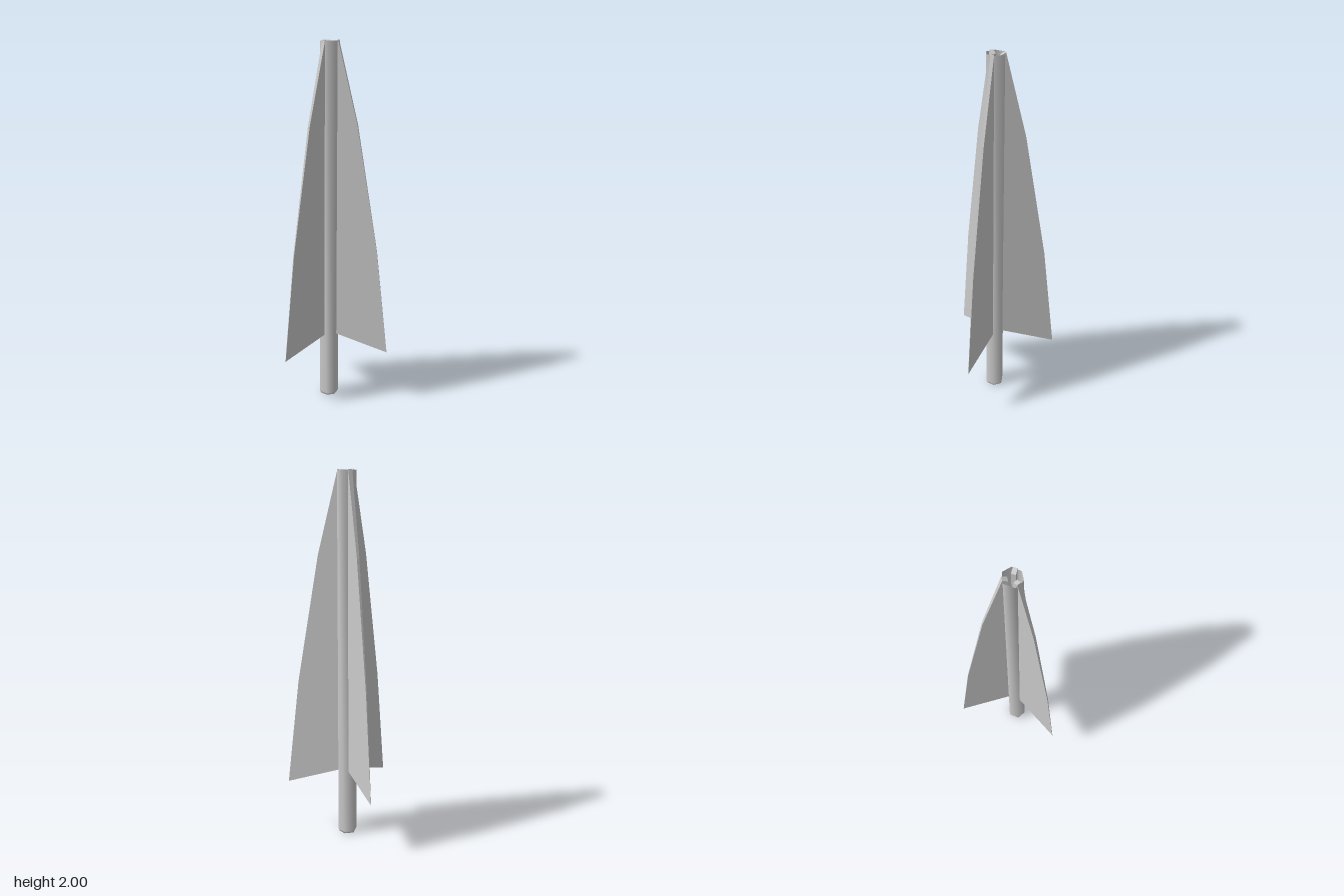
import * as THREE from 'three';
import { mergeVertices } from 'three/addons/utils/BufferGeometryUtils.js';

const AXIS_X = 0.085; // the shaft axis sits off-centre so the whole model is centred

// Slightly irregular six-sided hollow shaft, open on top, rounded bottom
function shaftGeometry() {
  const section = [[-0.008, 0.052], [0.039, 0.034], [0.05, -0.015], [0.005, -0.052], [-0.049, -0.026], [-0.049, 0.027]];
  const profile = [[0, 0], [0.86, 0.002], [1, 0.016], [1, 1.995]].map(([r, y]) => new THREE.Vector2(r, y));
  let geo = new THREE.LatheGeometry(profile, section.length);
  const pos = geo.attributes.position;
  for (let k = 0; k < pos.count; k++) {
    const [x, z] = section[Math.floor(k / profile.length) % section.length];
    const r = profile[k % profile.length].x;
    pos.setX(k, x * r);
    pos.setZ(k, z * r);
  }
  geo.deleteAttribute('uv');
  geo.deleteAttribute('normal');
  geo = mergeVertices(geo);
  geo.computeVertexNormals();
  return geo;
}

// Swept fin outline (radius, height), thick at the root and sharp at the tip
function finGeometry() {
  const outline = [[0.02, 0.374], [0.335, 0.28], [0.27, 0.865], [0.155, 1.555], [0.047, 2], [0.02, 1.985]];
  const shape = new THREE.Shape(outline.map(([r, y]) => new THREE.Vector2(r, y)));
  const geo = new THREE.ExtrudeGeometry(shape, { depth: 1, bevelEnabled: false });
  const pos = geo.attributes.position;
  for (let k = 0; k < pos.count; k++) {
    const half = 0.0005 + 0.0115 * (0.335 - pos.getX(k)) / 0.315;
    pos.setZ(k, pos.getZ(k) > 0.5 ? half : -half);
  }
  geo.computeVertexNormals();
  return geo;
}

export function createModel() {
  const model = new THREE.Group();
  model.name = 'finnedShaft';
  const material = new THREE.MeshStandardMaterial({ color: 0xcccccc, side: THREE.DoubleSide });

  const shaft = new THREE.Mesh(shaftGeometry(), material);
  shaft.name = 'shaft';
  shaft.position.x = AXIS_X;
  model.add(shaft);

  // Three fins evenly spaced round the shaft
  const finGeo = finGeometry();
  ['frontLeftFin', 'backLeftFin', 'rightFin'].forEach((name, i) => {
    const fin = new THREE.Mesh(finGeo, material);
    fin.name = name;
    fin.position.x = AXIS_X;
    fin.rotation.y = [-1, 1, 3][i] * Math.PI / 3;
    model.add(fin);
  });
  return model;
}
